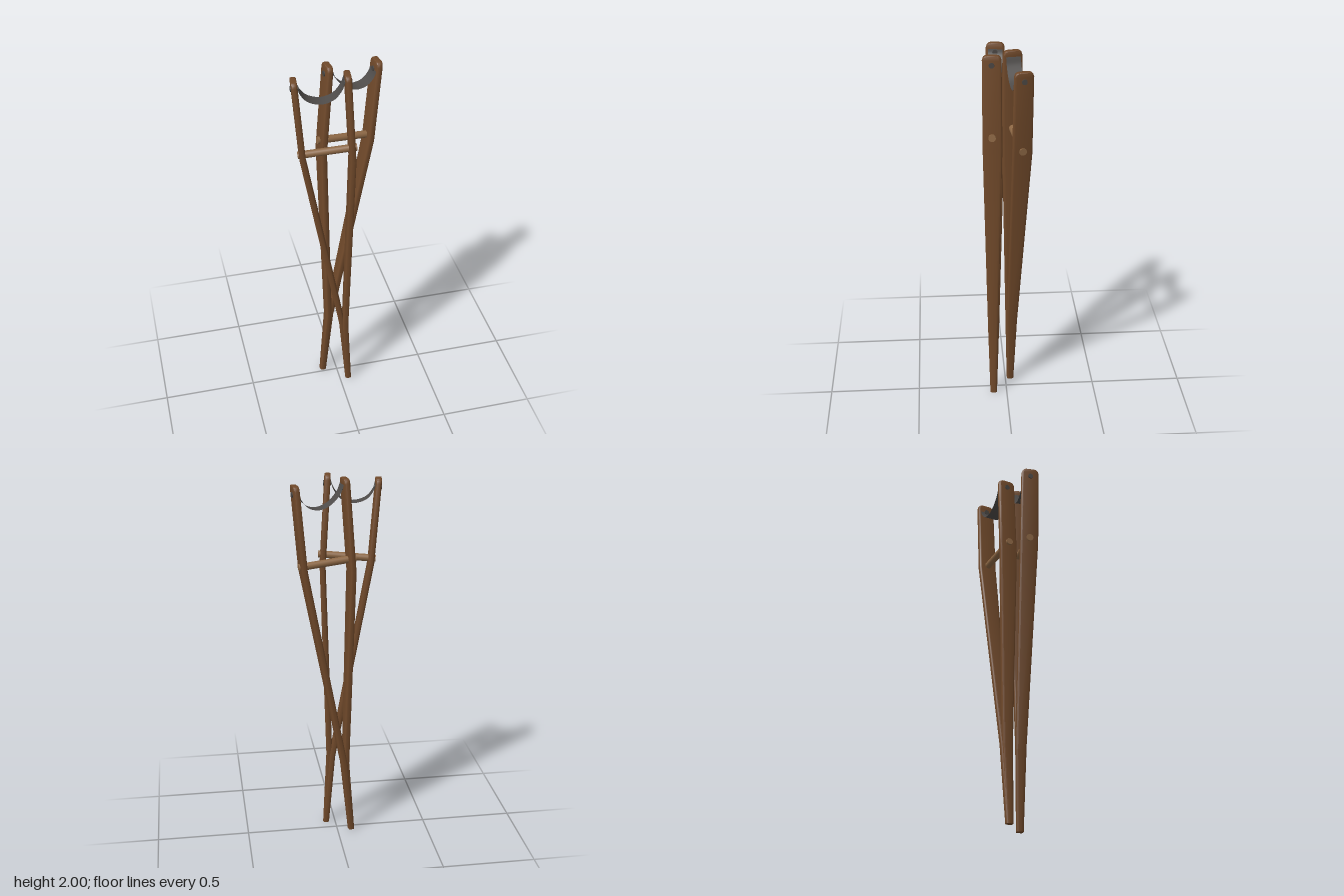
import * as THREE from 'three';
import { toCreasedNormals } from 'three/addons/utils/BufferGeometryUtils.js';

const V = (p) => new THREE.Vector3(p[0], p[1], p[2]);

// Rounded rectangle outline in x/z, turned by yaw
function section(x, y, z, t, w, yaw) {
  const r = Math.min(0.01, t * 0.42, w * 0.42), pts = [];
  for (let c = 0; c < 4; c++) {
    const sx = c === 0 || c === 3 ? 1 : -1, sz = c < 2 ? 1 : -1;
    for (let k = 0; k < 4; k++) {
      const a = (c + k / 3) * Math.PI / 2;
      const u = sx * (t / 2 - r) + r * Math.cos(a), v = sz * (w / 2 - r) + r * Math.sin(a);
      pts.push([x + u * Math.cos(yaw) - v * Math.sin(yaw), y, z + u * Math.sin(yaw) + v * Math.cos(yaw)]);
    }
  }
  return pts;
}

// Loft through stations [x, y, z, width, thickness], from the foot up
function loft(stations, yaw) {
  const n = 16, pos = [], idx = [];
  stations.forEach(([x, y, z, w, t]) => section(x, y, z, t, w, yaw).forEach((p) => pos.push(...p)));
  const last = stations.length - 1;
  for (let s = 0; s < last; s++) {
    for (let i = 0; i < n; i++) {
      const a = s * n + i, b = s * n + (i + 1) % n;
      idx.push(a, a + n, b, b, a + n, b + n);
    }
  }
  pos.push(...stations[0].slice(0, 3), ...stations[last].slice(0, 3));
  const bottom = (last + 1) * n, top = bottom + 1;
  for (let i = 0; i < n; i++) {
    const j = (i + 1) % n;
    idx.push(bottom, i, j, top, last * n + j, last * n + i);
  }
  const g = new THREE.BufferGeometry();
  g.setAttribute('position', new THREE.Float32BufferAttribute(pos, 3));
  g.setIndex(idx);
  return toCreasedNormals(g, 0.6);
}

// Cylinder between two points
function rod(a, b, r, sides = 16) {
  const d = V(b).sub(V(a));
  const g = new THREE.CylinderGeometry(r, r, d.length(), sides);
  g.applyQuaternion(new THREE.Quaternion().setFromUnitVectors(new THREE.Vector3(0, 1, 0), d.normalize()));
  const m = V(a).add(V(b)).multiplyScalar(0.5);
  return g.translate(m.x, m.y, m.z);
}

// Sagging ribbon following a curve
function ribbon(points, width, yaw) {
  const curve = new THREE.CatmullRomCurve3(points.map(V)), n = 28, pos = [], idx = [];
  for (let i = 0; i <= n; i++) {
    const p = curve.getPoint(i / n);
    for (const s of [-0.5, 0.5]) {
      pos.push(p.x - s * width * Math.sin(yaw), p.y, p.z + s * width * Math.cos(yaw));
    }
    if (i < n) idx.push(2 * i, 2 * i + 1, 2 * i + 2, 2 * i + 1, 2 * i + 3, 2 * i + 2);
  }
  const g = new THREE.BufferGeometry();
  g.setAttribute('position', new THREE.Float32BufferAttribute(pos, 3));
  g.setIndex(idx);
  g.computeVertexNormals();
  return g;
}

export function createModel() {
  const wood = new THREE.MeshStandardMaterial({ color: 0x70492a });
  wood.name = 'brown wood';
  const gripWood = new THREE.MeshStandardMaterial({ color: 0x8c6744 });
  gripWood.name = 'light wood';
  const leather = new THREE.MeshStandardMaterial({ color: 0x4e4b49, side: THREE.DoubleSide });
  leather.name = 'grey leather';
  const metal = new THREE.MeshStandardMaterial({ color: 0x4a4643 });
  metal.name = 'dark metal';

  const model = new THREE.Group();
  model.name = 'crutches';

  // Points run foot, joint, bend, top
  const crutches = [
    {
      name: 'frontCrutch', yaw: 0.12,
      outer: [[0.05, 0, 0.074], [0.015, 0.42, 0.068], [-0.187, 1.54, 0.045], [-0.222, 1.98, 0.041]],
      inner: [[0.05, 0, 0.074], [0.03, 0.42, 0.074], [0.063, 1.52, 0.073], [0.035, 2, 0.073]],
      strap: [[-0.207, 1.965, 0.042], [-0.197, 1.925, 0.042], [-0.16, 1.878, 0.047], [-0.09, 1.858, 0.054],
        [-0.03, 1.88, 0.061], [0.008, 1.93, 0.066], [0.021, 1.97, 0.068]],
    },
    {
      name: 'backCrutch', yaw: -0.13,
      outer: [[-0.078, 0, -0.028], [-0.035, 0.42, -0.035], [0.182, 1.54, -0.068], [0.22, 1.977, -0.071]],
      inner: [[-0.078, 0, -0.028], [-0.045, 0.42, -0.028], [-0.072, 1.52, -0.034], [-0.036, 2, -0.035]],
      strap: [[0.207, 1.955, -0.068], [0.192, 1.905, -0.066], [0.155, 1.865, -0.06], [0.105, 1.853, -0.054],
        [0.045, 1.875, -0.046], [-0.005, 1.93, -0.04], [-0.021, 1.97, -0.038]],
    },
  ];

  for (const c of crutches) {
    const group = new THREE.Group();
    group.name = c.name;
    model.add(group);
    const add = (name, geometry, material) => {
      const m = new THREE.Mesh(geometry, material);
      m.name = name;
      group.add(m);
    };
    // Point on an arm's upper section at height y
    const at = (arm, y) => {
      const [a, b] = [arm[2], arm[3]], k = (y - a[1]) / (b[1] - a[1]);
      return a.map((v, i) => v + (b[i] - v) * k);
    };
    // Point moved along the crutch's width
    const along = (p, d) => [p[0] + d * Math.cos(c.yaw), p[1], p[2] + d * Math.sin(c.yaw)];

    for (const side of ['outer', 'inner']) {
      const arm = c[side], [foot, joint, bend, top] = arm;
      // Tapered arm with a rounded top
      const stations = [
        [...foot, 0.037, 0.033], [...joint, 0.056, 0.033], [...bend, 0.1, 0.031],
        [...at(arm, top[1] - 0.024), 0.096, 0.031], [...at(arm, top[1] - 0.009), 0.086, 0.031],
        [...at(arm, top[1] - 0.002), 0.07, 0.029], [...top, 0.054, 0.025],
      ];
      add(side + 'Arm', loft(stations, c.yaw), wood);
      // Bolt holding the strap
      const bolt = at(arm, top[1] - 0.046);
      add(side + 'Bolt', rod(along(bolt, -0.02), along(bolt, 0.02), 0.014), metal);
    }

    // Hand grip passing through both arms
    const out = Math.sign(c.outer[3][0]);
    const a = along(at(c.outer, 1.557), out * 0.022), b = along(at(c.inner, 1.583), -out * 0.026);
    add('handGrip', rod(a, b, 0.019, 20), gripWood);
    // Underarm sling
    add('underarmStrap', ribbon(c.strap, 0.074, c.yaw), leather);
  }
  return model;
}
